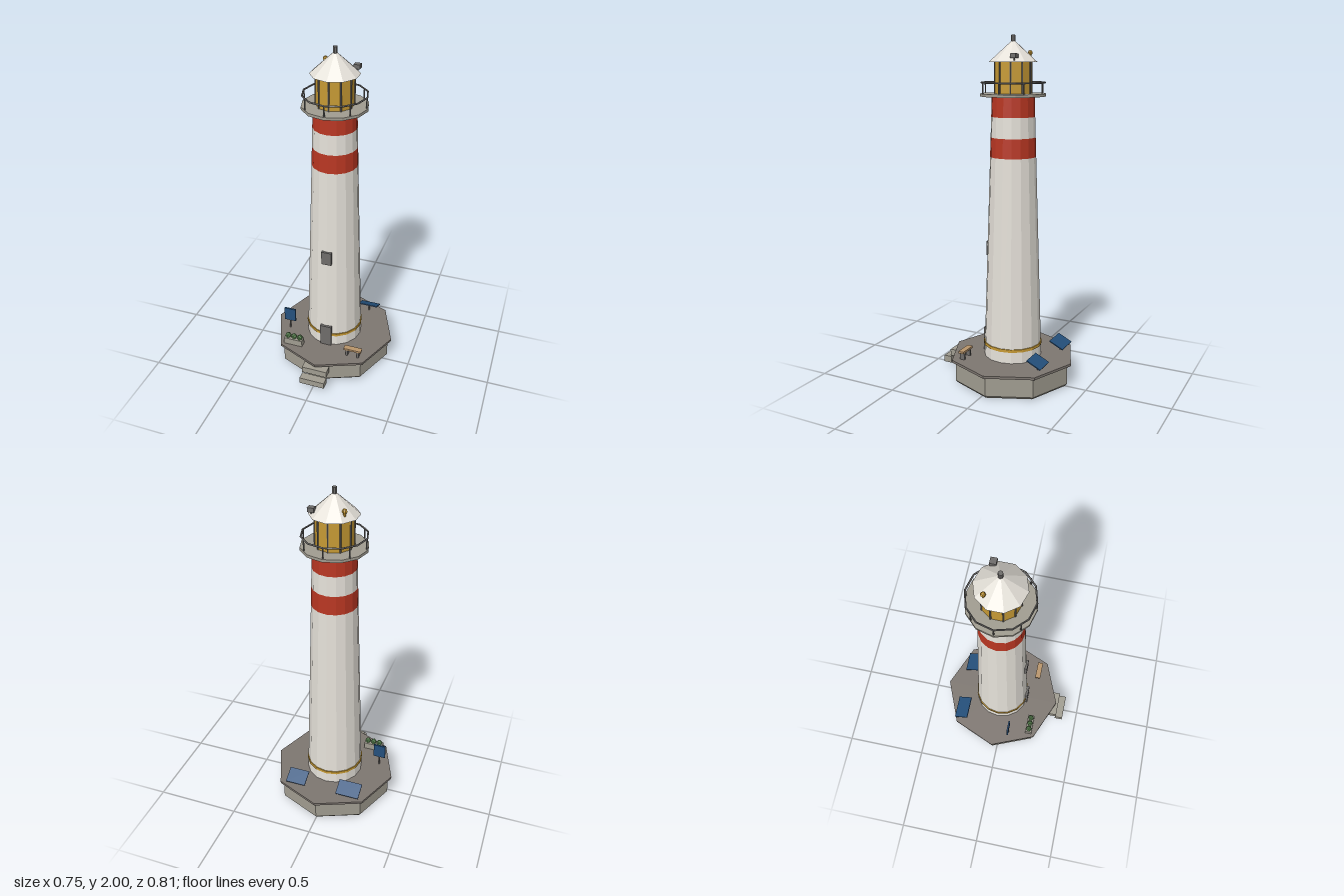
import * as THREE from 'three';

const mat = (name, color) => {
  const m = new THREE.MeshStandardMaterial({ color, flatShading: true });
  m.name = name;
  return m;
};

export function createModel() {
  const white = mat('whitewash', 0xe4e0d8);
  const red = mat('red', 0xb83622);
  const stone = mat('stone', 0xa09c90);
  const paving = mat('paving', 0x7d7670);
  const metal = mat('metal', 0x6e6c6a);
  const gold = mat('gold', 0xc79a34);
  const blue = mat('blue', 0x24507c);
  const green = mat('green', 0x5f8c55);
  const wood = mat('wood', 0xb8946a);

  const model = new THREE.Group();
  const CZ = -0.03; // tower axis

  const add = (name, geo, material, x, y, z) => {
    const mesh = new THREE.Mesh(geo, material);
    mesh.name = name;
    mesh.position.set(x, y, z);
    model.add(mesh);
    return mesh;
  };
  const box = (name, m, w, h, d, x, y, z) => add(name, new THREE.BoxGeometry(w, h, d), m, x, y, z);
  // Cylinder given by its bottom and top heights and radii
  const cyl = (name, m, r0, r1, y0, y1, sides, x = 0, z = CZ) =>
    add(name, new THREE.CylinderGeometry(r1, r0, y1 - y0, sides), m, x, (y0 + y1) / 2, z);
  const around = (n, r, fn) => {
    for (let i = 0; i < n; i++) {
      const a = (i / n) * Math.PI * 2;
      fn(Math.sin(a) * r, CZ + Math.cos(a) * r);
    }
  };

  // Octagonal base with chamfered foot and overhanging deck
  cyl('baseFoot', stone, 0.34, 0.353, 0, 0.015, 8);
  cyl('base', stone, 0.353, 0.353, 0.015, 0.13, 8);
  cyl('deck', paving, 0.375, 0.375, 0.13, 0.145, 8);
  box('upperStep', stone, 0.155, 0.04, 0.055, 0, 0.1, 0.332);
  box('lowerStep', stone, 0.155, 0.04, 0.05, 0, 0.052, 0.38);

  // Tapered tower in painted bands
  const towerR = (y) => 0.17 - (0.05 * (y - 0.145)) / 1.525;
  const bands = [[0.145, 1.33, white], [1.33, 1.44, red], [1.44, 1.555, white], [1.555, 1.67, red]];
  for (const [y0, y1, m] of bands) cyl('towerBand', m, towerR(y0), towerR(y1), y0, y1, 16);
  cyl('goldRing', gold, 0.173, 0.173, 0.213, 0.23, 16);
  box('door', metal, 0.07, 0.142, 0.02, 0, 0.216, 0.137);
  box('window', metal, 0.06, 0.084, 0.02, 0, 0.782, 0.118);

  // Gallery and railing
  cyl('gallery', stone, 0.185, 0.185, 1.667, 1.683, 12);
  const rail = add('railing', new THREE.TorusGeometry(0.178, 0.005, 5, 12), metal, 0, 1.743, CZ);
  rail.rotation.x = Math.PI / 2;
  around(8, 0.176, (x, z) => cyl('railPost', metal, 0.004, 0.004, 1.68, 1.743, 6, x, z));

  // Lantern room and roof
  cyl('lanternGlass', gold, 0.104, 0.104, 1.683, 1.857, 10);
  around(10, 0.104, (x, z) => cyl('mullion', metal, 0.005, 0.005, 1.683, 1.857, 6, x, z));
  cyl('roof', white, 0.136, 0.008, 1.855, 1.97, 10);
  cyl('finial', metal, 0.013, 0.013, 1.955, 2, 8);

  // Roof fittings
  cyl('beaconStem', gold, 0.004, 0.01, 1.87, 1.9, 6, -0.077, -0.097);
  add('beacon', new THREE.SphereGeometry(0.014, 7, 5), gold, -0.077, 1.905, -0.097);
  cyl('sensorPost', metal, 0.005, 0.005, 1.855, 1.885, 6, 0.104, -0.087);
  box('sensor', metal, 0.036, 0.024, 0.034, 0.104, 1.888, -0.087);

  // Tilted solar panels on posts
  for (const [x, w] of [[-0.172, 0.143], [0.161, 0.123]]) {
    const panel = box('solarPanel', blue, w, 0.006, 0.094, x, 0.194, -0.267);
    panel.rotation.x = -0.45;
    cyl('panelPost', metal, 0.005, 0.005, 0.145, 0.192, 6, x, -0.267);
  }

  // Sign board
  box('signBoard', blue, 0.074, 0.09, 0.01, -0.267, 0.25, 0.063);
  cyl('signPost', metal, 0.005, 0.005, 0.145, 0.21, 6, -0.267, 0.063);

  // Planter with three shrubs
  box('planter', stone, 0.118, 0.042, 0.043, -0.191, 0.166, 0.197);
  for (const x of [-0.228, -0.19, -0.152]) {
    add('shrub', new THREE.IcosahedronGeometry(0.02, 0), green, x, 0.198, 0.197);
  }

  // Bench
  box('benchSeat', wood, 0.11, 0.012, 0.034, 0.19, 0.193, 0.187);
  for (const x of [0.155, 0.225]) box('benchLeg', metal, 0.012, 0.043, 0.028, x, 0.166, 0.187);

  return model;
}
